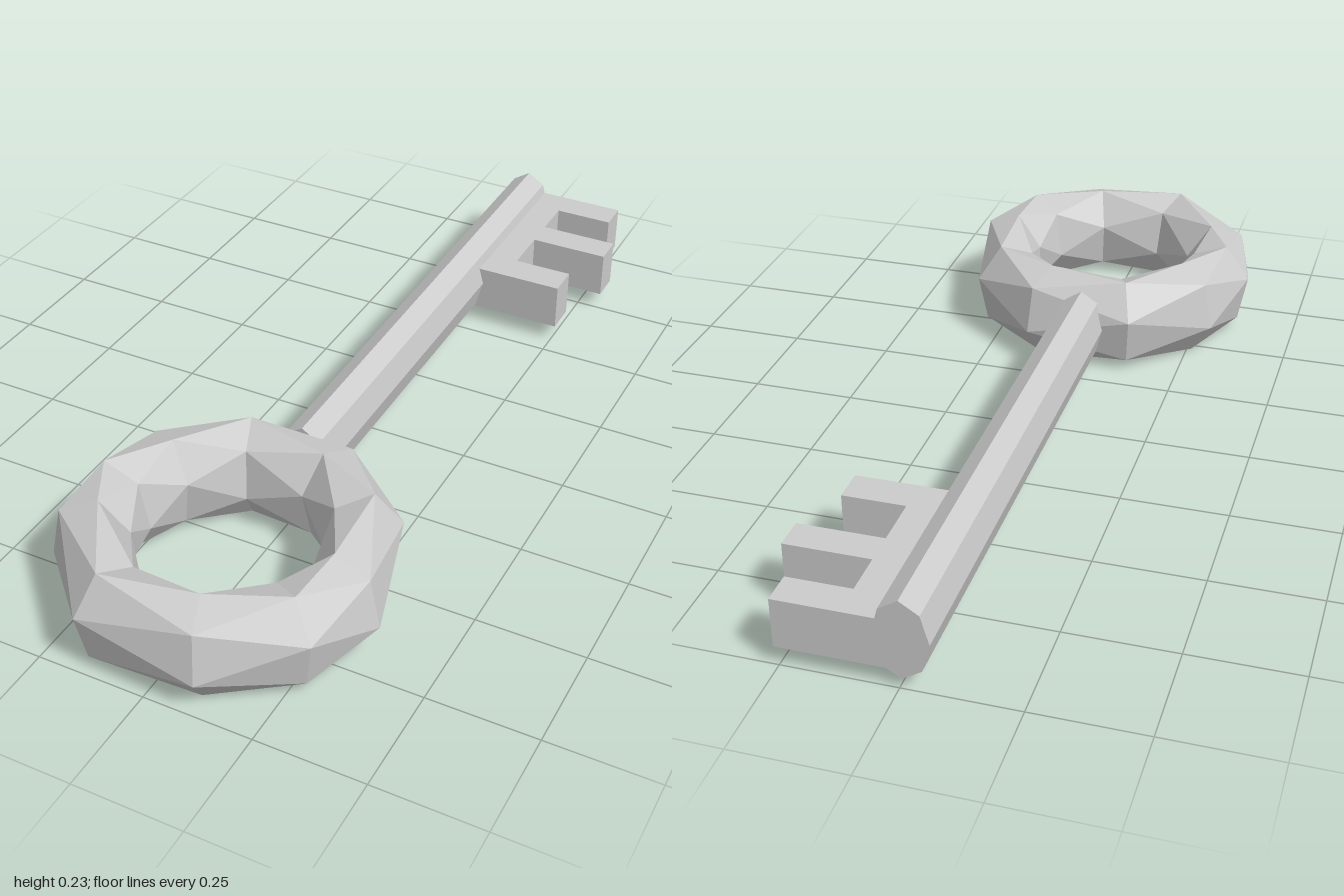
import * as THREE from 'three';

const material = new THREE.MeshStandardMaterial({ color: 0xcccccc, flatShading: true });

function addMesh(group, name, geometry) {
  const mesh = new THREE.Mesh(geometry, material);
  mesh.name = name;
  group.add(mesh);
  return mesh;
}

// Chunky ring: hexagonal sections whose twist alternates, joined by triangles
function ringGeometry() {
  const angles = [7, 35, 71, 113, 157, 182, 212, 249, 291, 326];
  const outer = [0.375, 0.375, 0.377, 0.385, 0.38, 0.376, 0.37, 0.37, 0.367, 0.367];
  const sides = 6, halfWidth = 0.085, halfHeight = 0.115;
  const twist = Math.PI / 12, stretch = 1 / Math.cos(twist);
  const positions = [], index = [];
  angles.forEach((deg, i) => {
    const a = THREE.MathUtils.degToRad(deg);
    for (let j = 0; j < sides; j++) {
      const p = (j / sides) * Math.PI * 2 + (i % 2 ? twist : -twist);
      const r = outer[i] - halfWidth + Math.cos(p) * halfWidth * stretch;
      positions.push(r * Math.cos(a), 0.117 + Math.sin(p) * halfHeight * stretch, 0.645 + r * Math.sin(a));
    }
  });
  for (let i = 0; i < angles.length; i++) {
    const next = (i + 1) % angles.length;
    for (let j = 0; j < sides; j++) {
      const k = (j + 1) % sides;
      const a = i * sides + j, b = i * sides + k;
      const c = next * sides + j, d = next * sides + k;
      // The diagonal follows the direction of the twist
      if (i % 2) index.push(a, b, d, a, d, c);
      else index.push(a, b, c, b, d, c);
    }
  }
  const geometry = new THREE.BufferGeometry();
  geometry.setAttribute('position', new THREE.Float32BufferAttribute(positions, 3));
  geometry.setIndex(index);
  geometry.computeVertexNormals();
  return geometry;
}

// Three-toothed bit, outlined in plan (x, z) and extruded downwards
function bitGeometry() {
  const teeth = [[-1, -0.925, 0.26], [-0.825, -0.75, 0.31], [-0.63, -0.55, 0.26]];
  const root = 0.02, spine = 0.115;
  const points = [new THREE.Vector2(root, -1)];
  teeth.forEach(([start, end, tip], i) => {
    if (i > 0) points.push(new THREE.Vector2(spine, start));
    points.push(new THREE.Vector2(tip, start), new THREE.Vector2(tip, end));
    if (i < teeth.length - 1) points.push(new THREE.Vector2(spine, end));
  });
  points.push(new THREE.Vector2(root, -0.55));
  const geometry = new THREE.ExtrudeGeometry(new THREE.Shape(points), { depth: 0.115, bevelEnabled: false });
  return geometry.rotateX(Math.PI / 2).translate(0, 0.16, 0);
}

export function createModel() {
  const key = new THREE.Group();
  key.name = 'key';

  addMesh(key, 'ringHandle', ringGeometry());

  // Eight-sided oval shaft
  const shaft = new THREE.CylinderGeometry(1, 1, 1.32, 8).rotateX(Math.PI / 2).scale(0.06, 0.093, 1);
  addMesh(key, 'shaft', shaft).position.set(-0.005, 0.118, -0.34);

  addMesh(key, 'bit', bitGeometry());
  return key;
}
